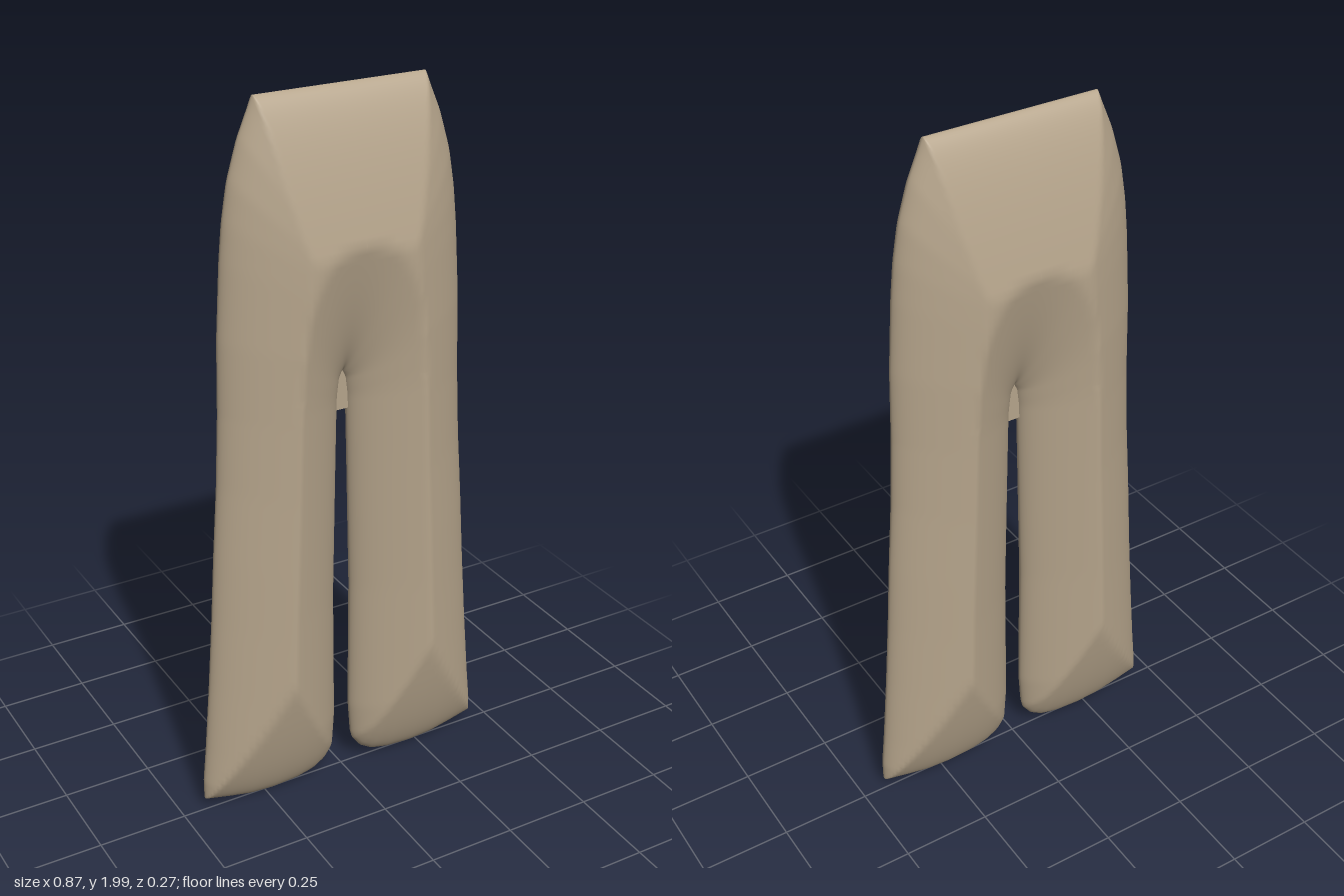
import * as THREE from 'three';
import { mergeVertices } from 'three/addons/utils/BufferGeometryUtils.js';

const CROTCH = 1.25, TOP = 2, NX = 36, LOW = 80, HIGH = 56;
const STRETCH = 2.15; // sideways distances count more than vertical ones
const DEPTH = 0.135, RISE = 0.4;

// Outline tables as [position, value]
const OUTER = [[0, 0.425], [0.04, 0.435], [0.1, 0.435], [0.2, 0.425], [0.4, 0.408], [0.6, 0.393], [0.8, 0.38],
  [1, 0.365], [1.2, 0.355], [1.4, 0.35], [1.6, 0.337], [1.7, 0.327], [1.8, 0.31], [1.9, 0.28], [1.97, 0.25], [2, 0.238]];
const INNER = [[0, 0.06], [0.05, 0.045], [0.1, 0.033], [0.2, 0.026], [0.6, 0.028], [1, 0.02],
  [1.18, 0.016], [1.23, 0.01], [1.25, 0]];
const HEM = [[0, 0.08], [0.04, 0.045], [0.12, 0.022], [0.25, 0.01], [0.45, 0.005], [0.65, 0.01], [0.82, 0.024], [1, 0.042]];

function lookUp(table, t) {
  for (let i = 1; i < table.length; i++) {
    const [a, va] = table[i - 1], [b, vb] = table[i];
    if (t <= b) return THREE.MathUtils.lerp(va, vb, (t - a) / (b - a));
  }
  return table[table.length - 1][1];
}
const ease = (s) => (1 - Math.cos(Math.PI * s)) / 2;

// Flat grid of one half: inseam or centre line to outer seam, hem to waist
function halfGrid() {
  const rows = [];
  for (let j = 0; j <= LOW + HIGH; j++) {
    const row = [];
    for (let i = 0; i <= NX; i++) {
      const u = ease(i / NX);
      const y = j <= LOW
        ? THREE.MathUtils.lerp(lookUp(HEM, u), CROTCH, ease(j / LOW))
        : THREE.MathUtils.lerp(CROTCH, TOP, ease((j - LOW) / HIGH));
      const inner = j < LOW ? lookUp(INNER, y) : 0;
      row.push([THREE.MathUtils.lerp(inner, lookUp(OUTER, y), u), y]);
    }
    rows.push(row);
  }
  return rows;
}

// Stretched distance from a point to the outline
function edgeDistance([px, py], edge) {
  let best = Infinity;
  for (let k = 1; k < edge.length; k++) {
    const [ax, ay] = edge[k - 1], [bx, by] = edge[k];
    const dx = (bx - ax) * STRETCH, dy = by - ay;
    const qx = (px - ax) * STRETCH, qy = py - ay;
    const t = THREE.MathUtils.clamp((qx * dx + qy * dy) / (dx * dx + dy * dy || 1), 0, 1);
    best = Math.min(best, Math.hypot(qx - t * dx, qy - t * dy));
  }
  return best;
}

// Puffed cloth: depth grows with distance from the outline
function trousersGeometry() {
  const rows = halfGrid();
  const edge = [
    ...rows.slice(0, LOW + 1).reverse().map((r) => r[0]),
    ...rows[0],
    ...rows.map((r) => r[NX]),
    ...[...rows[LOW + HIGH]].reverse(),
  ];
  const depth = rows.map((r) => r.map((p) => DEPTH * Math.pow(Math.min(edgeDistance(p, edge) / RISE, 1), 0.6)));
  const positions = [], index = [];
  for (const sx of [1, -1]) {
    for (const sz of [1, -1]) {
      const base = positions.length / 3;
      rows.forEach((r, j) => r.forEach(([x, y], i) => positions.push(sx * x, y, sz * depth[j][i])));
      for (let j = 0; j < LOW + HIGH; j++) {
        for (let i = 0; i < NX; i++) {
          const a = base + j * (NX + 1) + i, b = a + 1, d = a + NX + 1, c = d + 1;
          if (sx * sz > 0) index.push(a, b, c, a, c, d);
          else index.push(a, c, b, a, d, c);
        }
      }
    }
  }
  let geometry = new THREE.BufferGeometry();
  geometry.setAttribute('position', new THREE.Float32BufferAttribute(positions, 3));
  geometry.setIndex(index);
  geometry = mergeVertices(geometry, 1e-5);
  geometry.computeVertexNormals();
  return geometry;
}

export function createModel() {
  const group = new THREE.Group();
  group.name = 'trousers';
  const cloth = new THREE.MeshStandardMaterial({ color: 0xb5a48b });
  cloth.name = 'tan cloth';

  const body = new THREE.Mesh(trousersGeometry(), cloth);
  body.name = 'waistAndLegs';
  group.add(body);

  // Thin web of cloth under the crotch
  const web = new THREE.Mesh(new THREE.BoxGeometry(0.044, 0.12, 0.012), cloth);
  web.name = 'crotchWeb';
  web.position.y = 1.2;
  group.add(web);
  return group;
}
